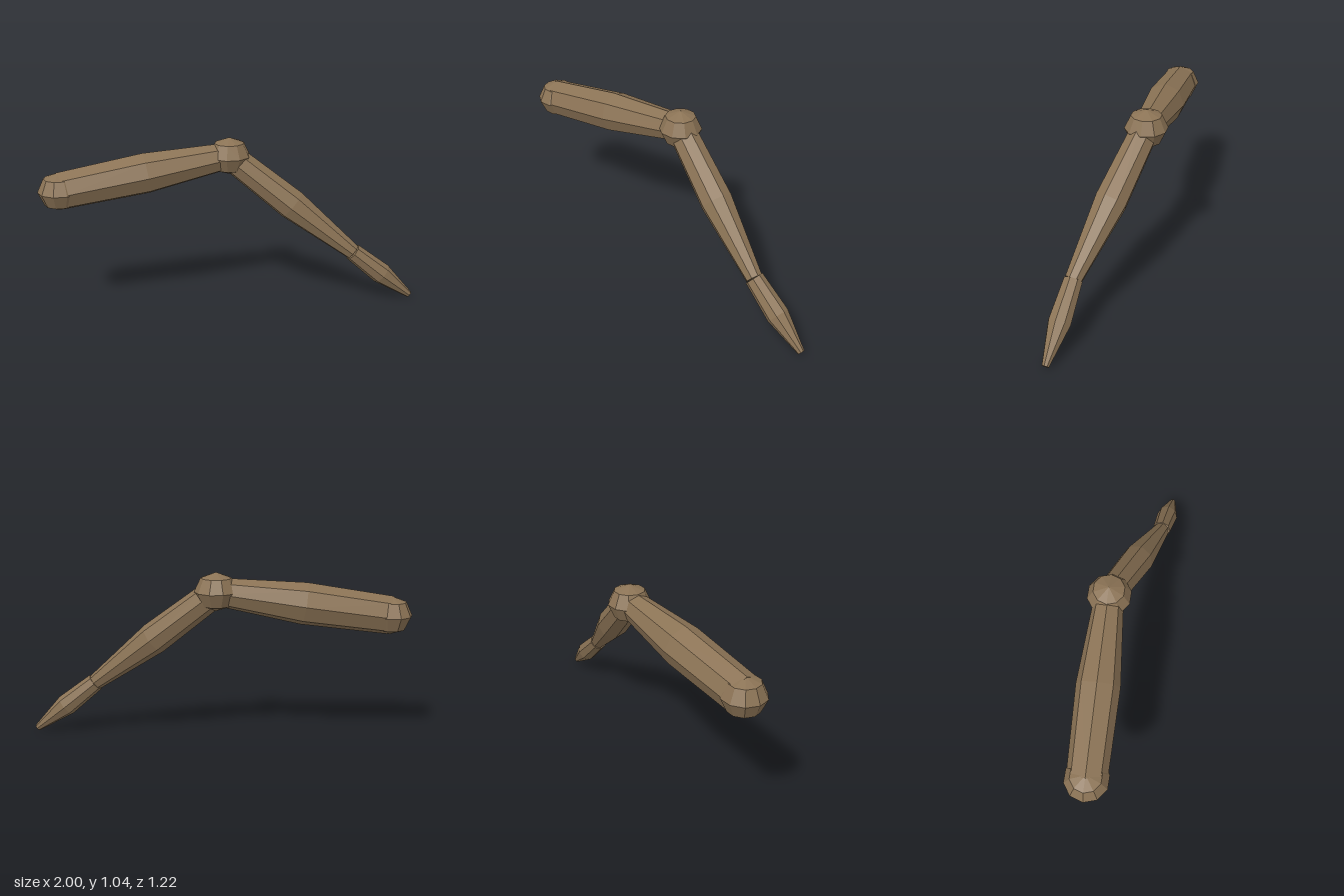
import * as THREE from 'three';

export function createModel() {
  const model = new THREE.Group();
  model.name = 'jointedLeg';
  const shell = new THREE.MeshStandardMaterial({ color: 0x8b7355, flatShading: true });
  shell.name = 'brownShell';

  const hip = new THREE.Vector3(-0.873, 0.78, 0.488);
  const knee = new THREE.Vector3(-0.065, 0.928, -0.137);
  const ankle = new THREE.Vector3(0.658, 0.325, -0.4);
  const tip = new THREE.Vector3(0.985, 0.017, -0.592);

  // Eight-sided closed segment swelling in the middle, running from a to b
  function segment(name, a, b, rStart, rMid, rEnd) {
    const dir = b.clone().sub(a);
    const length = dir.length();
    dir.normalize();
    const profile = [[0, 0], [rStart, 0], [rMid, length / 2], [rEnd, length], [0, length]]
      .map(([r, y]) => new THREE.Vector2(r, y));
    const mesh = new THREE.Mesh(new THREE.LatheGeometry(profile, 8), shell);
    const side = new THREE.Vector3().crossVectors(dir, new THREE.Vector3(0, 1, 0)).normalize();
    const up = new THREE.Vector3().crossVectors(side, dir);
    mesh.quaternion.setFromRotationMatrix(new THREE.Matrix4().makeBasis(side, dir, up));
    mesh.position.copy(a);
    mesh.name = name;
    model.add(mesh);
  }

  // Slightly flattened low-poly ball joint
  function joint(name, p) {
    const mesh = new THREE.Mesh(new THREE.SphereGeometry(0.128, 10, 4), shell);
    mesh.scale.y = 0.89;
    mesh.position.copy(p);
    mesh.name = name;
    model.add(mesh);
  }

  joint('hipJoint', hip);
  segment('upperLeg', hip, knee, 0.114, 0.125, 0.082);
  joint('kneeJoint', knee);
  segment('lowerLeg', knee, ankle, 0.084, 0.097, 0.05);
  segment('foot', ankle, tip, 0.056, 0.067, 0.021);

  return model;
}
